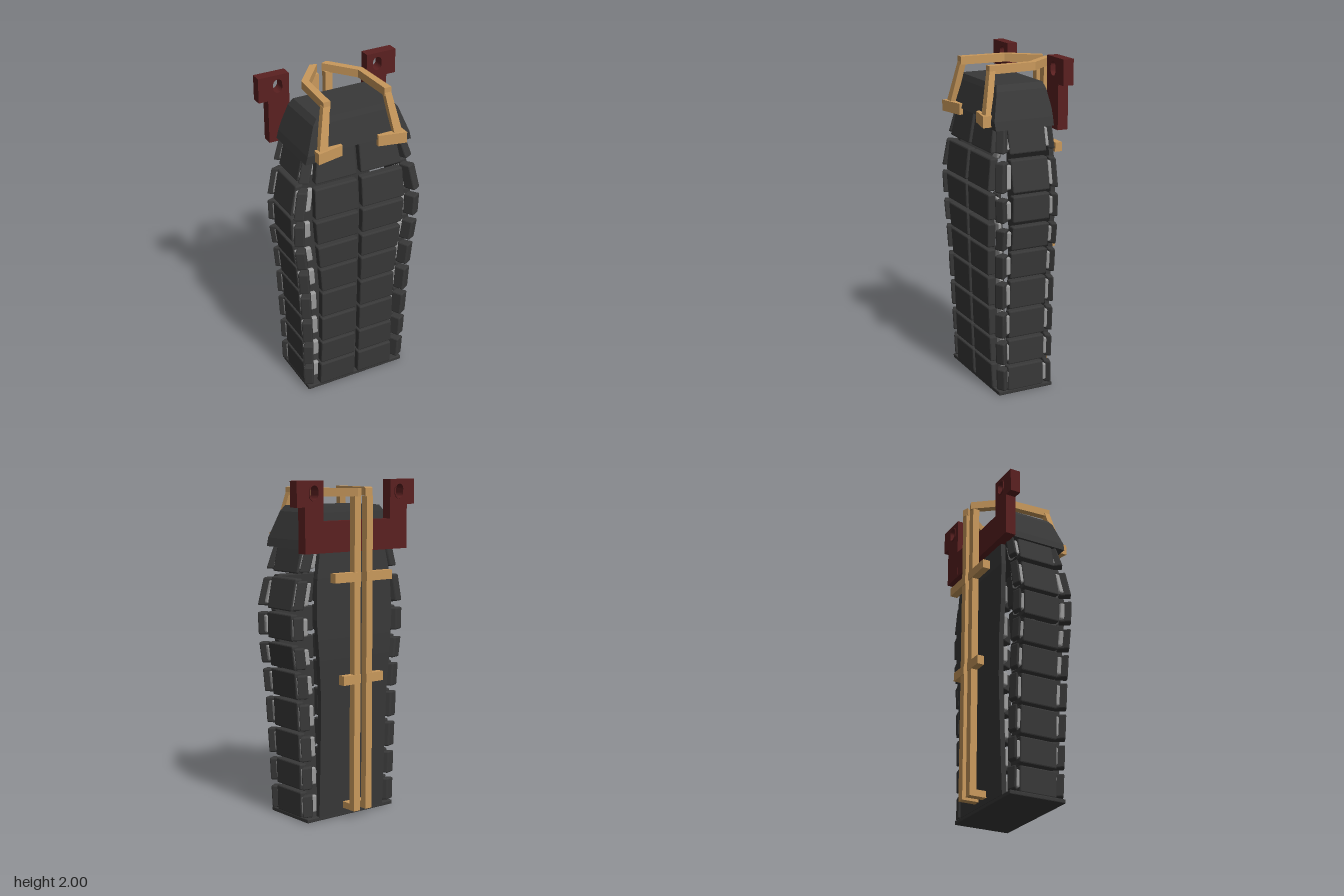
import * as THREE from 'three';
import { RoundedBoxGeometry } from 'three/addons/geometries/RoundedBoxGeometry.js';

const mat = (color) => new THREE.MeshStandardMaterial({ color, flatShading: true });

// Piecewise linear profile: list of [y, value]
function along(profile, y) {
  for (let i = 1; i < profile.length; i++) {
    const [y0, a] = profile[i - 1], [y1, b] = profile[i];
    if (y <= y1) return a + (b - a) * Math.max(0, (y - y0) / (y1 - y0));
  }
  return profile[profile.length - 1][1];
}

// Corners of a rectangle in the xz plane
const rect = (x0, x1, z0, z1) => [[x0, z0], [x1, z0], [x1, z1], [x0, z1]];

// Bevelled block spanning four bottom and four top [x, z] corners; side -1 mirrors it in x
function block(bottom, top, y0, y1, bevel = 0, side = 1) {
  const flip = (c) => (side > 0 ? c : [c[1], c[0], c[3], c[2]].map(([x, z]) => [-x, z]));
  const [b, t] = [flip(bottom), flip(top)];
  const w = Math.hypot(b[1][0] - b[0][0], b[1][1] - b[0][1]);
  const d = Math.hypot(b[3][0] - b[0][0], b[3][1] - b[0][1]);
  const h = y1 - y0;
  const geo = bevel ? new RoundedBoxGeometry(w, h, d, 1, bevel) : new THREE.BoxGeometry(w, h, d);
  const p = geo.attributes.position;
  for (let i = 0; i < p.count; i++) {
    const u = p.getX(i) / w + 0.5, v = p.getY(i) / h + 0.5, s = p.getZ(i) / d + 0.5;
    const at = (c, k) => (1 - s) * ((1 - u) * c[0][k] + u * c[1][k]) + s * ((1 - u) * c[3][k] + u * c[2][k]);
    p.setXYZ(i, at(b, 0) * (1 - v) + at(t, 0) * v, y0 + h * v, at(b, 1) * (1 - v) + at(t, 1) * v);
  }
  geo.computeVertexNormals();
  return geo;
}

export function createModel() {
  const model = new THREE.Group();
  const dark = mat(0x383838), grey = mat(0x9a9a9a), red = mat(0x5a2020), gold = mat(0xc9995c);
  const add = (name, geo, material, parent = model) => {
    const mesh = new THREE.Mesh(geo, material);
    mesh.name = name;
    parent.add(mesh);
    return mesh;
  };

  // Outline of the shell by height
  const rows = [[0.02, 0.175], [0.19, 0.345], [0.36, 0.53], [0.545, 0.72], [0.735, 0.895],
    [0.91, 1.055], [1.08, 1.235], [1.255, 1.44], [1.47, 1.665]];
  const frontHalf = [[0, 0.25], [0.35, 0.243], [0.72, 0.245], [0.9, 0.26], [1.23, 0.292], [1.44, 0.283], [1.67, 0.245]];
  const frontZ = [[0, 0.205], [0.35, 0.22], [0.72, 0.232], [1.05, 0.243], [1.25, 0.25], [1.44, 0.23], [1.67, 0.19]];
  const outer = [[0, 0.35], [0.36, 0.36], [0.72, 0.378], [0.9, 0.393], [1.05, 0.413], [1.26, 0.418], [1.44, 0.382], [1.62, 0.33]];

  // Rows of armour: front plates, side plates, diagonal corner fins and grey hinges
  rows.forEach(([y0, y1], i) => {
    const row = new THREE.Group();
    row.name = `armourRow${i + 1}`;
    model.add(row);
    const spans = (fn, a, b, bevel, side) => block(fn(a), fn(b), a, b, bevel, side);
    const finTop = Math.min(y1 - 0.01, 1.615);
    for (const side of [1, -1]) {
      add('frontPlate', spans((y) => {
        const z = along(frontZ, y);
        return rect(0.013, along(frontHalf, y), z - 0.05, z);
      }, y0, y1, 0.008, side), dark, row);
      add('sidePlate', spans((y) => {
        const x = along(outer, y) - 0.02;
        return rect(x - 0.05, x, -0.093, 0.142);
      }, y0, y1, 0.008, side), dark, row);
      add('frontCornerFin', spans((y) => {
        const x = along(outer, y), z = along(frontZ, y) - 0.004;
        return [[x - 0.09, z - 0.065], [x - 0.045, z - 0.085], [x, z - 0.03], [x - 0.055, z]];
      }, y0 + 0.01, finTop, 0.008, side), dark, row);
      add('backCornerFin', spans((y) => {
        const x = along(outer, y);
        return [[x - 0.06, -0.153], [x, -0.135], [x - 0.035, -0.105], [x - 0.09, -0.118]];
      }, y0 + 0.01, finTop, 0.008, side), dark, row);
      add('frontHinge', spans((y) => {
        const x = along(outer, y), z = along(frontZ, y) - 0.077;
        return rect(x - 0.125, x - 0.022, z - 0.018, z + 0.012);
      }, y0 + 0.025, finTop - 0.015, 0.009, side), grey, row);
      add('backHinge', spans((y) => {
        const x = along(outer, y);
        return rect(x - 0.125, x - 0.022, -0.115, -0.092);
      }, y0 + 0.025, finTop - 0.015, 0.009, side), grey, row);
    }
  });

  // Curved back plate
  const backHalf = [[0, 0.245], [0.72, 0.25], [1.2, 0.285], [1.44, 0.275], [1.68, 0.23]];
  const backZ = [[0, -0.158], [0.4, -0.173], [1.0, -0.192], [1.4, -0.183], [1.68, -0.162]];
  const back = new THREE.BoxGeometry(2, 1.66, 0.03, 1, 14, 1);
  const bp = back.attributes.position;
  for (let i = 0; i < bp.count; i++) {
    const y = bp.getY(i) + 0.85;
    bp.setXYZ(i, bp.getX(i) * along(backHalf, y), y, bp.getZ(i) + along(backZ, y) + 0.015);
  }
  back.computeVertexNormals();
  add('backPlate', back, dark);

  // Base and sloped cap
  const base = rect(-0.33, 0.33, -0.155, 0.2);
  add('basePlate', block(base, base, 0, 0.025, 0.005), dark);
  add('cap', block(rect(-0.325, 0.325, -0.152, 0.225), rect(-0.268, 0.268, -0.13, 0.183), 1.66, 1.815), dark);
  add('capTop', block(rect(-0.268, 0.268, -0.13, 0.183), rect(-0.24, 0.24, -0.12, 0.17), 1.815, 1.85), dark);
  for (const side of [1, -1]) {
    add('capSkirt', block(rect(0.27, 0.338, -0.145, 0.222), rect(0.27, 0.325, -0.15, 0.225), 1.61, 1.66, 0, side), dark);
  }

  // Red mounting bracket: crossbar and two eared posts with slots
  const bracket = new THREE.Group();
  bracket.name = 'bracket';
  model.add(bracket);
  const bar = rect(-0.26, 0.26, -0.208, -0.16);
  add('crossbar', block(bar, bar, 1.59, 1.77), red, bracket);
  const slot = (x, r, Type) => {
    const s = new Type();
    s.absarc(x, 1.945, r, 0, Math.PI, false);
    s.absarc(x, 1.92, r, Math.PI, Math.PI * 2, false);
    s.closePath();
    return s;
  };
  const slab = (shape, depth, z) => new THREE.ExtrudeGeometry(shape, { depth, bevelEnabled: false, curveSegments: 6 }).translate(0, 0, z);
  for (const side of [1, -1]) {
    const pts = [[0.25, 1.59], [0.382, 1.59], [0.382, 1.852], [0.44, 1.852], [0.44, 2], [0.25, 2]];
    const post = new THREE.Shape(pts.map(([x, y]) => new THREE.Vector2(x * side, y)));
    post.holes.push(slot(0.32 * side, 0.028, THREE.Path));
    add('bracketPost', slab(post, 0.064, -0.209), red, bracket);
    const rim = slot(0.32 * side, 0.036, THREE.Shape);
    rim.holes.push(slot(0.32 * side, 0.028, THREE.Path));
    add('slotRim', slab(rim, 0.01, -0.214), red, bracket);
  }

  // Gold frame: rear rails, crosspieces, and arms reaching over the cap to the front feet
  for (const side of [1, -1]) {
    const frame = new THREE.Group();
    frame.name = side > 0 ? 'leftFrame' : 'rightFrame';
    model.add(frame);
    const piece = (name, r, y0, y1) => add(name, block(r, r, y0, y1, 0, side), gold, frame);
    piece('rearRail', rect(0.022, 0.068, -0.265, -0.223), 0.05, 1.91);
    piece('railFoot', rect(0.022, 0.068, -0.265, -0.16), 0.05, 0.09);
    piece('upperCrosspiece', rect(0.022, 0.213, -0.27, -0.225), 1.42, 1.475);
    piece('lowerCrosspiece', rect(0.022, 0.15, -0.268, -0.225), 0.82, 0.875);
    const arm = new THREE.Shape([[0.014, -0.26], [0.055, -0.275], [0.195, -0.1], [0.213, 0.2], [0.17, 0.2], [0.157, -0.08]]
      .map(([x, z]) => new THREE.Vector2(x * side, -z)));
    add('overArm', new THREE.ExtrudeGeometry(arm, { depth: 0.048, bevelEnabled: false })
      .rotateX(-Math.PI / 2).translate(0, 1.907, 0), gold, frame);
    add('frontLeg', block(rect(0.215, 0.268, 0.215, 0.255), rect(0.172, 0.213, 0.163, 0.2), 1.66, 1.925, 0, side), gold, frame);
    const foot = [[0.115, 0.215], [0.28, 0.215], [0.28, 0.274], [0.115, 0.238]];
    piece('frontFoot', foot, 1.622, 1.688);
  }
  return model;
}
